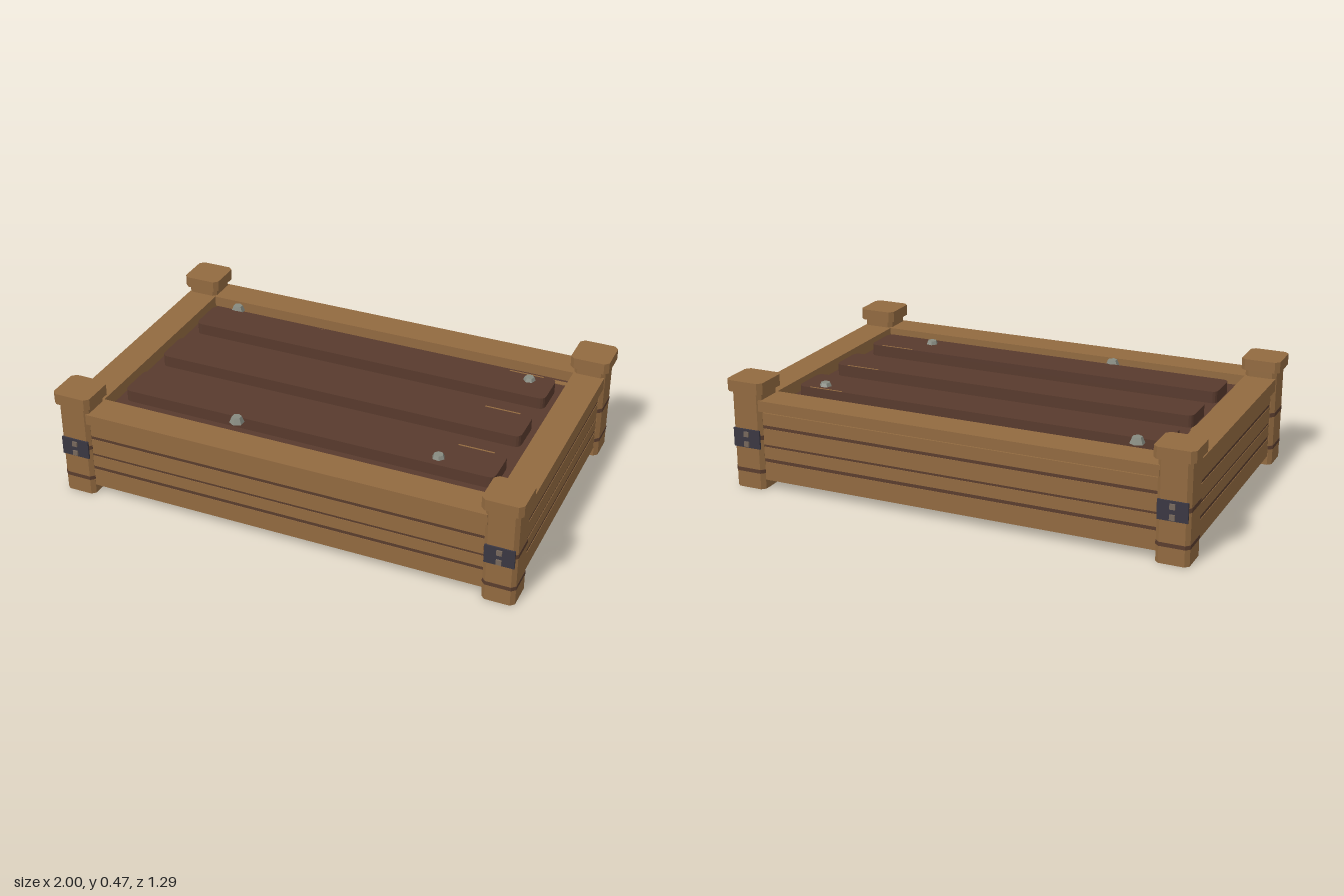
import * as THREE from 'three';

const mat = (name, color) => {
  const m = new THREE.MeshStandardMaterial({ color });
  m.name = name;
  return m;
};

export function createModel() {
  const root = new THREE.Group();
  root.name = 'raisedGardenBed';
  const wood = mat('wood', 0x926a40);
  const seam = mat('darkSeam', 0x5a3d2d);
  const soil = mat('soil', 0x583a2d);
  const iron = mat('iron', 0x3a3742);
  const stud = mat('stud', 0x77685c);
  const stone = mat('stone', 0x868a80);
  const green = mat('leafGreen', 0x2f5a24);
  green.side = THREE.DoubleSide;

  const add = (parent, name, geo, m, x = 0, y = 0, z = 0) => {
    const mesh = new THREE.Mesh(geo, m);
    mesh.name = name;
    mesh.position.set(x, y, z);
    parent.add(mesh);
    return mesh;
  };
  // box given by its limits
  const box = (parent, name, m, x0, x1, y0, y1, z0, z1) =>
    add(parent, name, new THREE.BoxGeometry(x1 - x0, y1 - y0, z1 - z0), m,
      (x0 + x1) / 2, (y0 + y1) / 2, (z0 + z1) / 2);
  // upright slab with cut or rounded corners, standing on y = 0
  const slab = (w, d, h, r, round) => {
    const s = new THREE.Shape(), a = w / 2, b = d / 2;
    const corner = (cx, cy, x, y) => (round ? s.quadraticCurveTo(cx, cy, x, y) : s.lineTo(x, y));
    s.moveTo(-a + r, -b);
    s.lineTo(a - r, -b); corner(a, -b, a, -b + r);
    s.lineTo(a, b - r); corner(a, b, a - r, b);
    s.lineTo(-a + r, b); corner(-a, b, -a, b - r);
    s.lineTo(-a, -b + r); corner(-a, -b, -a + r, -b);
    const g = new THREE.ExtrudeGeometry(s, { depth: h, bevelEnabled: false, curveSegments: 4 });
    return g.rotateX(-Math.PI / 2);
  };

  // corner posts with caps, dark bands and iron brackets
  for (const sx of [-1, 1]) for (const sz of [-1, 1]) {
    const post = new THREE.Group();
    post.name = 'cornerPost';
    post.position.set(sx * 0.917, 0, sz * 0.56);
    root.add(post);
    add(post, 'postShaft', slab(0.135, 0.138, 0.42, 0.016), wood);
    add(post, 'postCap', slab(0.166, 0.166, 0.048, 0.018), wood, 0, 0.418, 0);
    add(post, 'lowerBand', slab(0.138, 0.141, 0.016, 0.016), seam, 0, 0.07, 0);
    add(post, 'upperBand', slab(0.138, 0.141, 0.018, 0.016), seam, 0, 0.217, 0);
    add(post, 'bracket', new THREE.BoxGeometry(0.122, 0.08, 0.008), iron, 0, 0.219, sz * 0.071);
    for (const y of [0.195, 0.238])
      add(post, 'bracketStud', new THREE.BoxGeometry(0.022, 0.022, 0.008), stud, 0, y, sz * 0.077);
  }

  // plank walls with dark seams, and top rails
  const planks = [[0.04, 0.12], [0.135, 0.186], [0.196, 0.266], [0.28, 0.333]];
  for (const s of [-1, 1]) {
    const span = (name, m, y0, y1, a, b, alongX, half) => {
      const lo = Math.min(s * a, s * b), hi = Math.max(s * a, s * b);
      if (alongX) box(root, name, m, -half, half, y0, y1, lo, hi);
      else box(root, name, m, lo, hi, y0, y1, -half, half);
    };
    planks.forEach(([y0, y1], i) => {
      span('longPlank', wood, y0, y1, 0.565, 0.612, true, 0.86);
      span('endPlank', wood, y0, y1, 0.92, 0.967, false, 0.5);
      if (i < 3) {
        const top = planks[i + 1][0];
        span('longSeam', seam, y1, top, 0.565, 0.61, true, 0.86);
        span('endSeam', seam, y1, top, 0.92, 0.965, false, 0.5);
      }
    });
    span('longRail', wood, 0.342, 0.388, 0.49, 0.626, true, 0.86);
    span('endRail', wood, 0.333, 0.388, 0.85, 0.982, false, 0.5);
  }

  // soil block and planting ridges
  box(root, 'soilBed', soil, -0.92, 0.92, 0.042, 0.33, -0.565, 0.565);
  for (const z of [-0.315, -0.003, 0.31]) {
    add(root, 'soilRidge', slab(1.615, 0.172, 0.05, 0.03, true), soil, -0.002, 0.341, z);
    box(root, 'ridgeChip', wood, 0.6, 0.75, 0.389, 0.392, z - 0.085, z - 0.078);
  }

  // wood chips showing on the top and bottom of the soil
  const chips = [[-0.575, -0.422, 0.21, 0.045], [-0.32, -0.472, 0.065, 0.05],
    [0.745, -0.48, 0.17, 0.025], [-0.825, -0.06, 0.05, 0.08], [0.74, 0.342, 0.2, 0.045]];
  for (const [x, z, w, d] of chips)
    for (const y of [0.329, 0.039])
      add(root, 'woodChip', slab(w, d, 0.004, Math.min(w, d) * 0.4, true), wood, x, y, z);

  // pebbles
  [[-0.7, -0.425], [0.7, -0.355], [0.56, 0.345], [-0.28, 0.415]].forEach(([x, z], i) => {
    const g = new THREE.CylinderGeometry(0.02, 0.031, 0.027, 6).toNonIndexed();
    g.computeVertexNormals();
    add(root, 'pebble', g, stone, x, 0.393, z).rotation.y = i * 0.7;
  });

  // small drooping leaves under the edges
  for (const [x, z] of [[-0.815, 0.47], [-0.675, -0.47], [0.805, -0.47]]) {
    const sprig = new THREE.Group();
    sprig.name = 'leafSprig';
    sprig.position.set(x + 0.03, 0.04, z - Math.sign(z) * 0.02);
    root.add(sprig);
    for (const turn of [-0.5, 0.1, 0.7]) {
      const g = new THREE.ConeGeometry(0.014, 0.07, 4);
      g.scale(1, 1, 0.35).translate(0, 0.035, 0).rotateX(Math.PI / 2 + 0.35);
      add(sprig, 'leaf', g, green).rotation.y = Math.atan2(-1, Math.sign(z)) + turn;
    }
  }
  return root;
}
